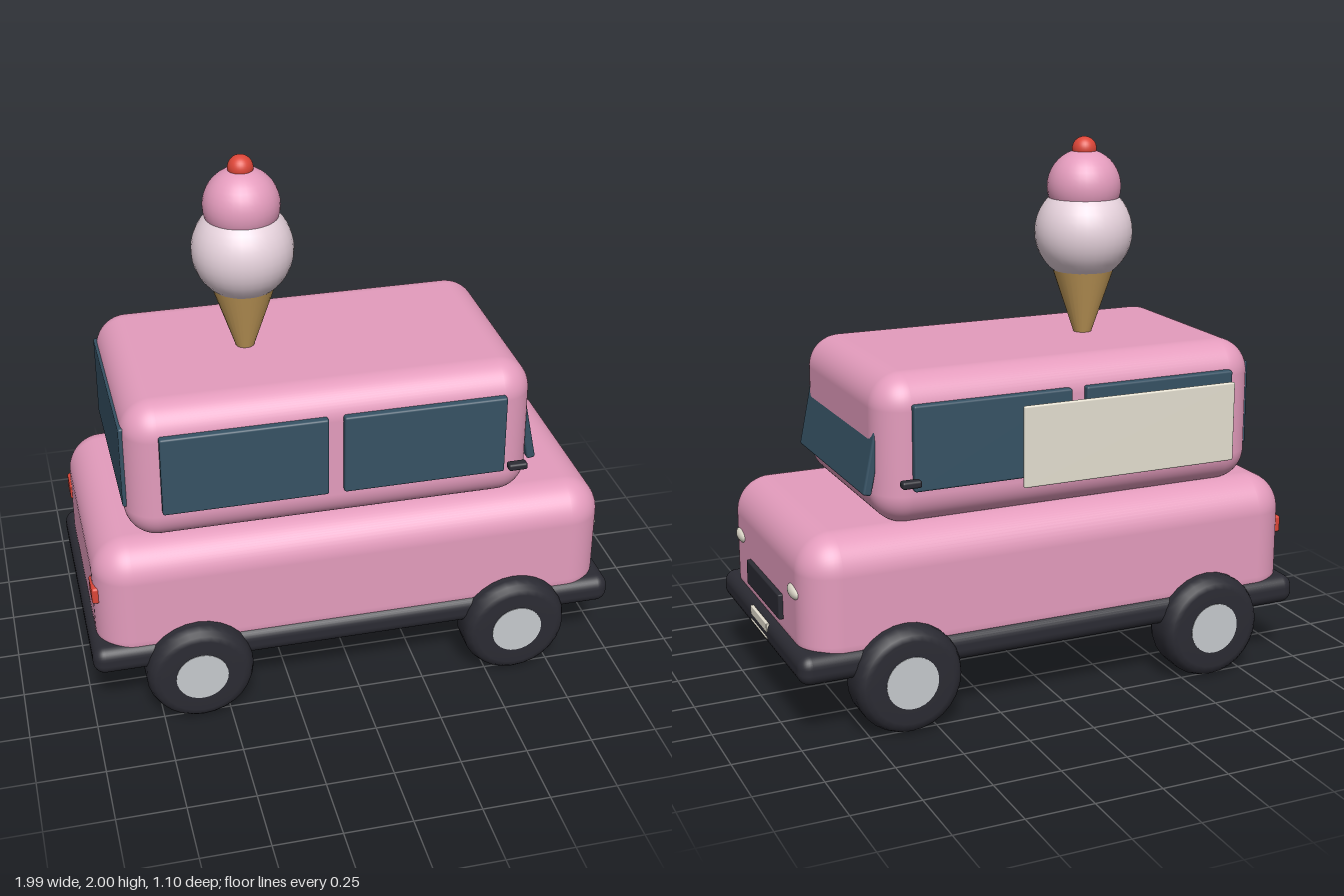
import * as THREE from 'three';
import { RoundedBoxGeometry } from 'three/addons/geometries/RoundedBoxGeometry.js';

const mat = (name, color) => {
  const m = new THREE.MeshStandardMaterial({ color });
  m.name = name;
  return m;
};

export function createModel() {
  const pink = mat('pink paint', 0xe49cbd);
  const dark = mat('black rubber', 0x2b2b33);
  const glass = mat('blue glass', 0x365264);
  const cream = mat('cream', 0xe4dfd0);
  const steel = mat('hub grey', 0xc6cacd);
  const waffle = mat('waffle', 0xc89f5c);
  const vanilla = mat('vanilla', 0xead6e0);
  const red = mat('red', 0xdc4638);

  const model = new THREE.Group();
  model.name = 'iceCreamVan';

  const add = (name, geometry, material, x, y, z) => {
    const mesh = new THREE.Mesh(geometry, material);
    mesh.name = name;
    mesh.position.set(x, y, z);
    model.add(mesh);
    return mesh;
  };
  // Rounded box given by its limits on each axis
  const block = (name, material, [x0, x1], [y0, y1], [z0, z1], r, seg = 3) =>
    add(name, new RoundedBoxGeometry(x1 - x0, y1 - y0, z1 - z0, seg, r), material,
      (x0 + x1) / 2, (y0 + y1) / 2, (z0 + z1) / 2);

  // Bodywork; the van drives toward +x
  block('lowerBody', pink, [-0.968, 0.962], [0.212, 0.73], [-0.482, 0.482], 0.135, 8);
  block('cabin', pink, [-0.83, 0.67], [0.72, 1.263], [-0.435, 0.435], 0.12, 8);
  block('bumperSkirt', dark, [-0.995, 0.995], [0.222, 0.332], [-0.5, 0.5], 0.045, 4);

  // Side windows, mirrors, lights and wheels on both sides
  const tireProfile = [
    [0.09, -0.085], [0.155, -0.085], [0.175, -0.08], [0.19, -0.065], [0.2, -0.04],
    [0.2, 0.04], [0.19, 0.065], [0.175, 0.08], [0.155, 0.085], [0.09, 0.085],
  ].map(([r, y]) => new THREE.Vector2(r, y));
  const tire = new THREE.LatheGeometry(tireProfile, 28).rotateX(Math.PI / 2);
  const hub = new THREE.CylinderGeometry(0.097, 0.097, 0.174, 28).rotateX(Math.PI / 2);
  const lamp = new THREE.SphereGeometry(1, 20, 12).scale(0.02, 0.027, 0.055);

  for (const s of [1, -1]) {
    const zs = (a, b) => (s > 0 ? [a, b] : [-b, -a]);
    block('rearSideWindow', glass, [-0.708, -0.107], [0.86, 1.168], zs(0.425, 0.459), 0.008);
    block('frontSideWindow', glass, [-0.05, 0.552], [0.86, 1.168], zs(0.425, 0.459), 0.008);
    block('mirror', dark, [0.548, 0.62], [0.895, 0.922], zs(0.484, 0.52), 0.009);
    block('tailLight', red, [-0.976, -0.946], [0.487, 0.553], zs(0.31, 0.41), 0.01);
    add('headlight', lamp, cream, 0.956, 0.518, s * 0.325);
    for (const x of [-0.608, 0.606]) {
      add('tire', tire, dark, x, 0.2, s * 0.465);
      add('hub', hub, steel, x, 0.2, s * 0.465);
    }
  }

  // Sloping windscreen and upright rear window
  const screen = block('windscreen', glass, [0.647, 0.679], [0.835, 1.165], [-0.36, 0.36], 0.008);
  screen.rotation.z = 0.2;
  screen.position.x = 0.66;
  block('rearWindow', glass, [-0.837, -0.805], [0.85, 1.17], [-0.355, 0.355], 0.008);

  // Serving hatch panel
  block('servingHatch', cream, [-0.692, 0.158], [0.838, 1.135], [-0.504, -0.486], 0.006);

  // Grille and number plate
  block('grille', dark, [0.945, 0.979], [0.368, 0.463], [-0.202, 0.202], 0.006);
  block('plateTop', cream, [0.985, 0.998], [0.285, 0.32], [-0.102, 0.102], 0.003);
  block('plateBottom', cream, [0.985, 0.998], [0.259, 0.268], [-0.102, 0.102], 0.003);

  // Roof ice cream
  const cx = -0.315;
  const ball = (r) => new THREE.SphereGeometry(r, 32, 20);
  add('cone', new THREE.CylinderGeometry(0.118, 0.03, 0.26, 28), waffle, cx, 1.38, 0);
  add('vanillaScoop', ball(0.185), vanilla, cx, 1.646, 0);
  add('pinkScoop', ball(0.139), pink, cx, 1.815, 0);
  add('cherry', ball(0.046), red, cx, 1.954, 0);

  return model;
}
